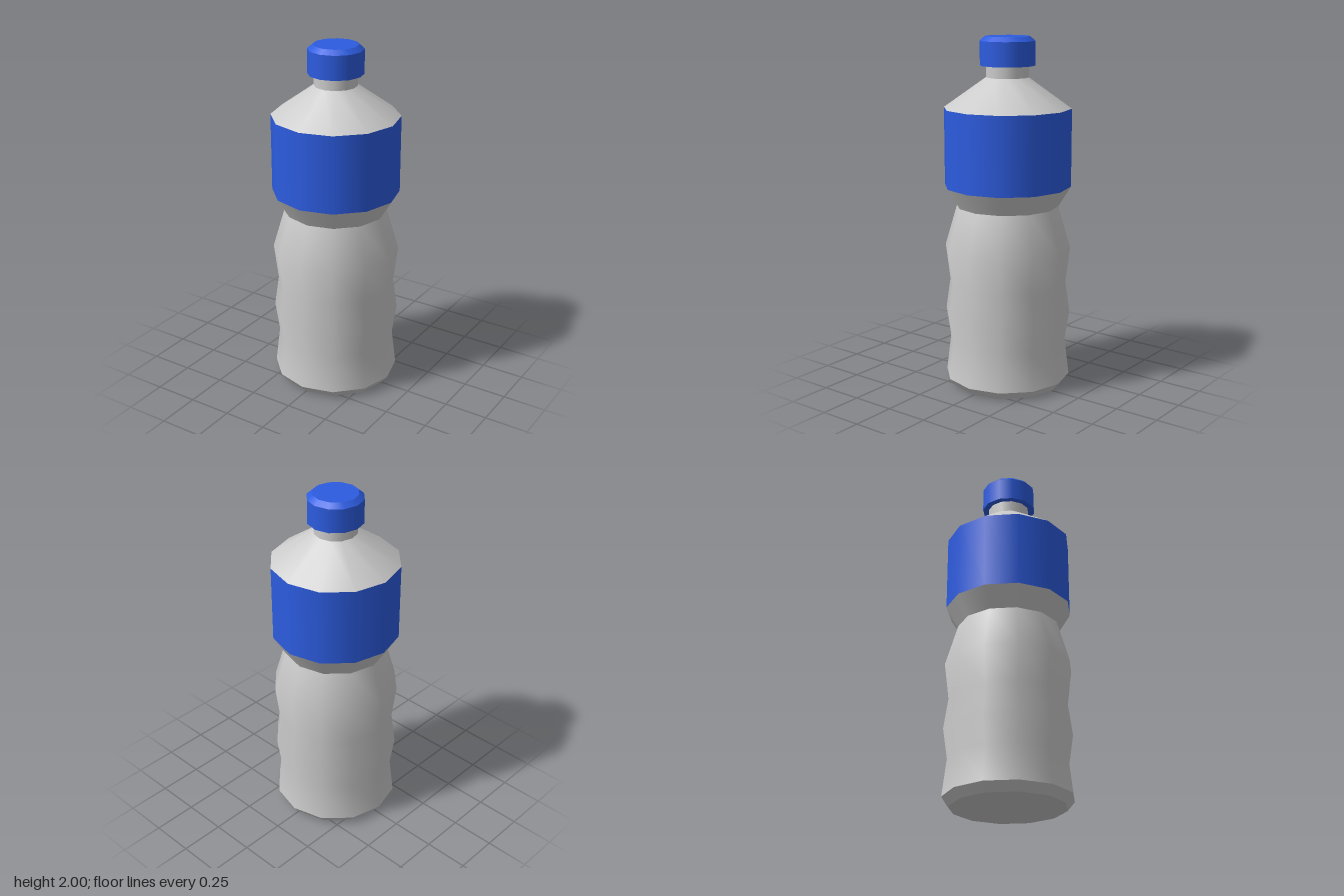
import * as THREE from 'three';

const SIDES = 12;

export function createModel() {
  const bottle = new THREE.Group();
  bottle.name = 'bottle';
  const grey = new THREE.MeshStandardMaterial({ color: 0xcccccc });
  const blue = new THREE.MeshStandardMaterial({ color: 0x2c5ce0 });

  // Each turned section is smooth in itself; edges between sections stay sharp.
  // Profile points are [radius, height], listed from bottom to top.
  function turned(name, material, profile, parent) {
    const points = profile.map(([r, y]) => new THREE.Vector2(r, y));
    const mesh = new THREE.Mesh(new THREE.LatheGeometry(points, SIDES), material);
    mesh.name = name;
    parent.add(mesh);
  }

  // Body, from the base up to the neck
  const body = new THREE.Group();
  body.name = 'body';
  turned('base', grey, [[0, 0], [0.32, 0]], body);
  turned('baseBevel', grey, [[0.32, 0], [0.36, 0.05]], body);
  turned('grip', grey, [
    [0.36, 0.05], [0.335, 0.26], [0.36, 0.43],
    [0.335, 0.605], [0.36, 0.81], [0.29, 1.05],
  ], body);
  turned('waist', grey, [[0.29, 1.05], [0.36, 1.165]], body);
  turned('label', blue, [[0.36, 1.165], [0.36, 1.605]], body);
  turned('shoulder', grey, [[0.36, 1.605], [0.12, 1.775]], body);
  turned('neck', grey, [[0.12, 1.775], [0.12, 1.84]], body);

  // Screw cap with a bevelled top edge
  const cap = new THREE.Group();
  cap.name = 'cap';
  turned('capUnderside', blue, [[0.12, 1.84], [0.155, 1.84]], cap);
  turned('capSide', blue, [[0.155, 1.84], [0.155, 1.975]], cap);
  turned('capBevel', blue, [[0.155, 1.975], [0.126, 2]], cap);
  turned('capTop', blue, [[0.126, 2], [0, 2]], cap);

  bottle.add(body, cap);
  return bottle;
}
